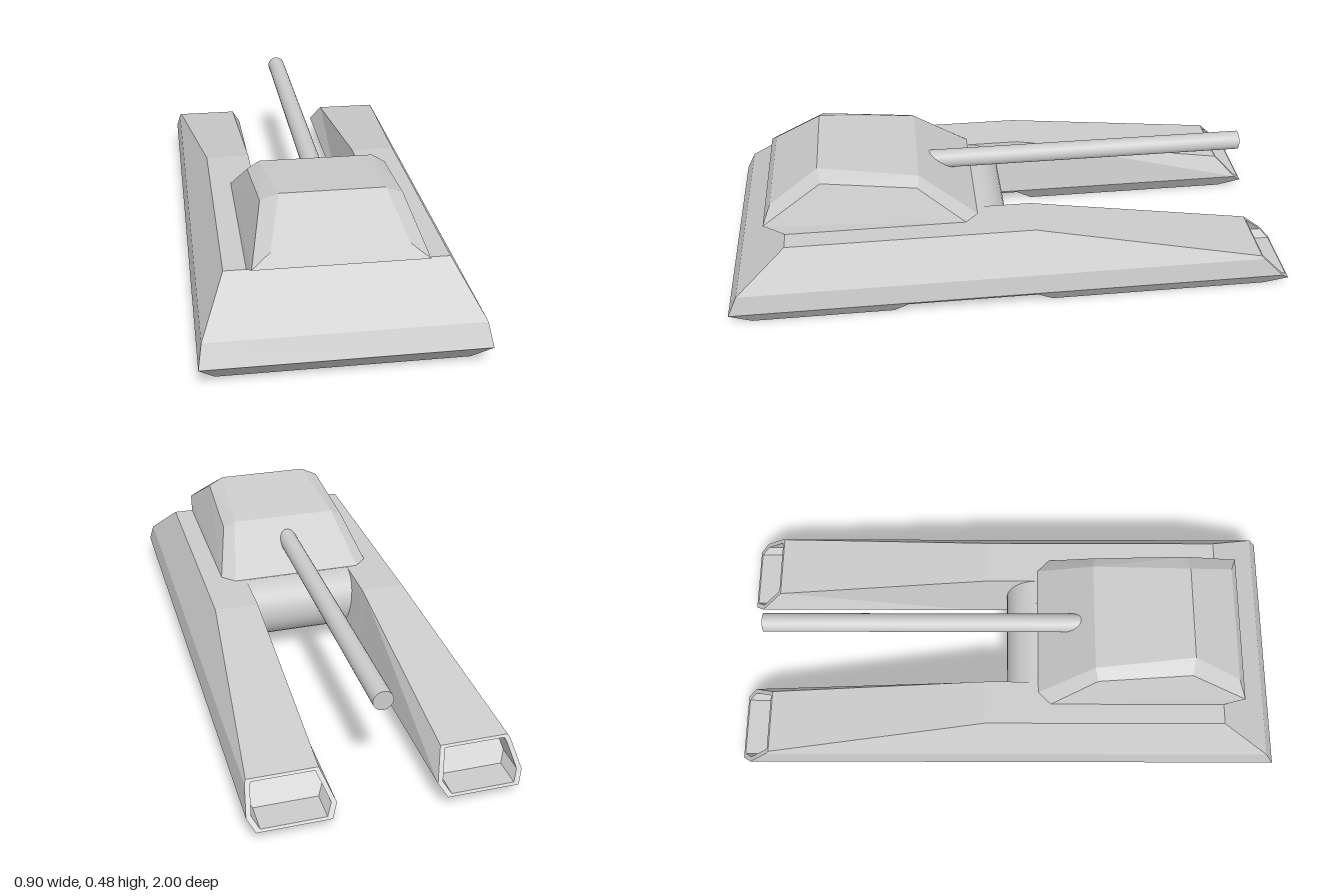
import * as THREE from 'three';
import { ConvexGeometry } from 'three/addons/geometries/ConvexGeometry.js';

const TOP = 0.285, MID = 0.073, TIP = 0.04;

// Skin a list of rings (running towards -z, clockwise seen from +z) and close both ends.
function loft(rings) {
  const pos = [];
  const tri = (a, b, c) => pos.push(...a, ...b, ...c);
  for (let k = 0; k < rings.length - 1; k++) {
    const r = rings[k], s = rings[k + 1], n = r.length;
    for (let i = 0; i < n; i++) {
      const j = (i + 1) % n;
      tri(r[i], r[j], s[j]);
      tri(r[i], s[j], s[i]);
    }
  }
  const first = rings[0], last = rings[rings.length - 1];
  for (let i = 1; i < first.length - 1; i++) {
    tri(first[0], first[i + 1], first[i]);
    tri(last[0], last[i], last[i + 1]);
  }
  const g = new THREE.BufferGeometry();
  g.setAttribute('position', new THREE.Float32BufferAttribute(pos, 3));
  g.computeVertexNormals();
  return g;
}

const mirrorX = (ring) => ring.map(([x, y, z]) => [-x, y, z]).reverse();

// Side profile rules shared by hull and prongs
const outerTopX = (y) => 0.357 + (TOP - y) * (0.08 / 0.14);
const chamfer = (y) => 0.05 * (1 - y / MID);
const outerLowX = (y) => 0.45 - chamfer(y);
const innerLowX = (y) => 0.165 + chamfer(y);

// Main hull block: ring is top, upper side, widest side, bottom, mirrored across
function hullGeometry() {
  const full = (half) => [[-half[0][0], half[0][1], half[0][2]], ...half,
    ...half.slice(1).reverse().map(([x, y, z]) => [-x, y, z])];
  const section = (z, low) => full([
    [0.357, TOP, z], [0.437, 0.145, z], [0.45, MID, z], [outerLowX(low), low, z]]);
  const a = [0.357, TOP, 0.79], b = [0.437, 0.145, 0.965], c = [0.45, MID, 1], d = [0.4, 0, 0.93];
  return loft([full([b, b, c, c]), full([a, b, c, d]),
    section(0.43, 0), section(0.38, 0.06), section(0.11, 0.06)]);
}

// Long prong with a slanted end and a hollow in it
function prongRings() {
  const section = (z, top, low, endZ = () => z) => {
    const t = Math.max(TIP, low);
    return [
      [0.2, top], [outerTopX(top), top], [0.437, 0.145], [0.45, MID], [outerLowX(t), t],
      [outerLowX(low), low], [innerLowX(low), low], [innerLowX(t), t], [0.165, MID],
    ].map(([x, y]) => [x, y, endZ(y)]);
  };
  const slant = (y) => (y < TIP ? -0.92 : -1 + (y - TIP));
  const end = section(0, 0.155, 0, slant);
  // fold the underside corners up to the tip edge, leaving the slanted face
  const face = end.map((p, i) => (i === 5 ? end[4] : i === 6 ? end[7] : p));
  const centre = [0.31, 0.097, slant(0.097)];
  const rim = face.map((p) => p.map((v, i) => centre[i] + (v - centre[i]) * 0.88));
  const floor = rim.map(([x, y, z]) => [x, y, z + 0.1]);
  return [section(0.11, TOP, 0.06), section(-0.08, TOP, 0.06),
    section(-0.14, 0.275, 0), end, face, rim, floor];
}

// Faceted turret from its corner points
function turretGeometry() {
  const corners = [
    [0.24, 0.285, 0.115], [0.285, 0.285, 0.16], [0.285, 0.285, 0.79],
    [0.275, 0.32, 0.862], [0.215, 0.365, 0.837],
    [0.228, 0.45, 0.655], [0.238, 0.412, 0.325],
    [0.17, 0.476, 0.665], [0.195, 0.435, 0.315],
  ];
  return new ConvexGeometry(corners.flatMap(([x, y, z]) =>
    [new THREE.Vector3(x, y, z), new THREE.Vector3(-x, y, z)]));
}

export function createModel() {
  const model = new THREE.Group();
  model.name = 'tank';
  const material = new THREE.MeshStandardMaterial({ color: 0xcccccc });
  const add = (name, geometry) => {
    const mesh = new THREE.Mesh(geometry, material);
    mesh.name = name;
    model.add(mesh);
    return mesh;
  };

  add('hull', hullGeometry());
  const rings = prongRings();
  add('leftProng', loft(rings));
  add('rightProng', loft(rings.map(mirrorX)));

  // Rounded hull end between the prongs
  const drum = add('roundedHullEnd', new THREE.CylinderGeometry(0.1125, 0.1125, 0.4, 32));
  drum.rotation.z = Math.PI / 2;
  drum.position.set(0, 0.1725, 0.1125);

  add('turret', turretGeometry());

  // Gun barrel
  const barrel = add('gunBarrel', new THREE.CylinderGeometry(0.034, 0.034, 1.24, 24));
  barrel.rotation.x = Math.PI / 2;
  barrel.position.set(0, 0.367, -0.27);

  return model;
}
